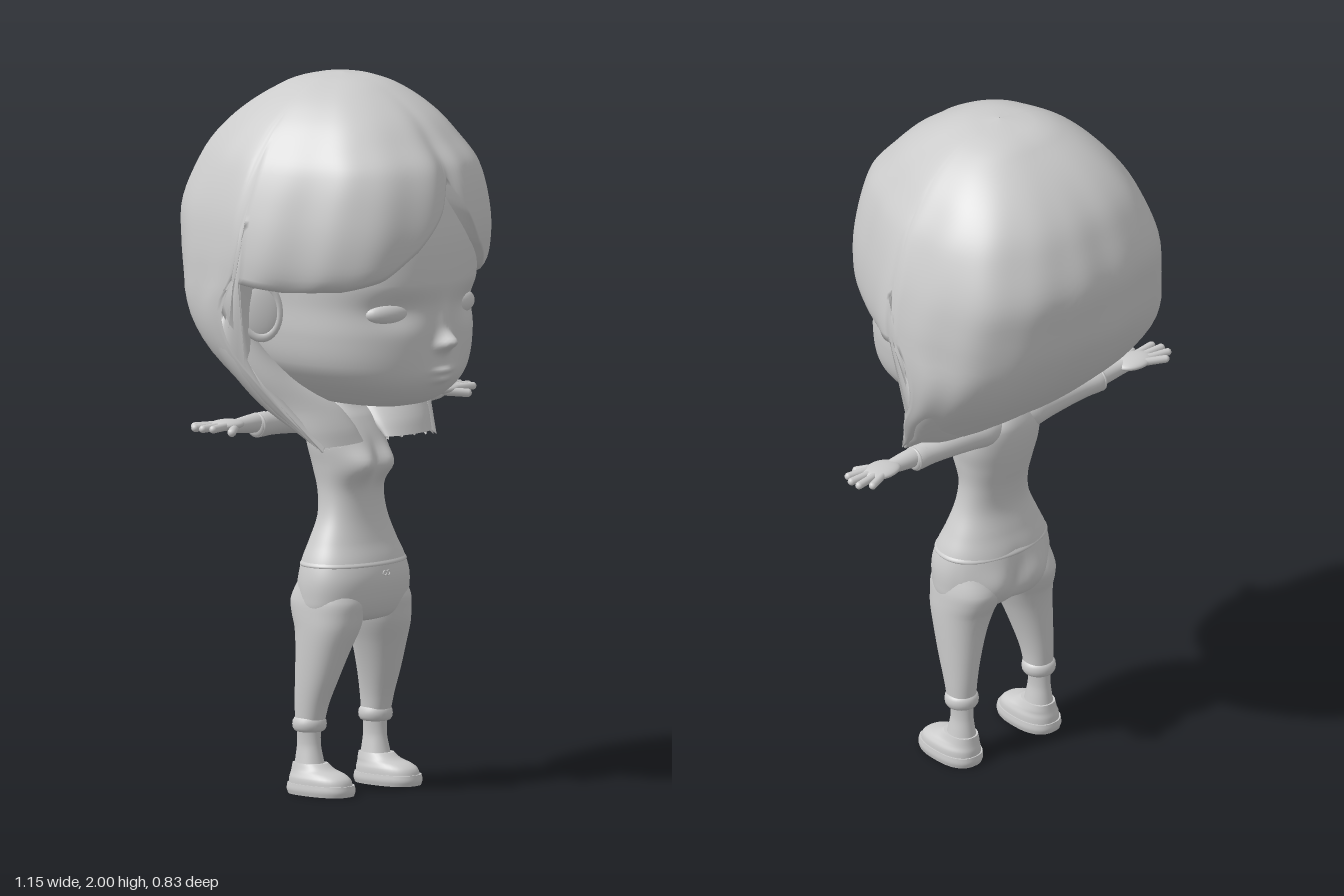
import * as THREE from 'three';

const { lerp, clamp, smoothstep } = THREE.MathUtils;
const mat = new THREE.MeshStandardMaterial({ color: 0xcccccc, roughness: 0.8, side: THREE.DoubleSide });

function mesh(name, geo, parent) {
  const m = new THREE.Mesh(geo, mat);
  m.name = name;
  parent.add(m);
  return m;
}

// Smooth lookup in a table of rows [y, centreX, halfWidth, zFront, zBack]
function sample(T, y) {
  let i = 0;
  while (i < T.length - 2 && y > T[i + 1][0]) i++;
  const h = T[i + 1][0] - T[i][0], f = clamp((y - T[i][0]) / h, 0, 1);
  const slope = (k, c) => {
    const a = T[Math.max(k - 1, 0)], b = T[Math.min(k + 1, T.length - 1)];
    return (b[c] - a[c]) / (b[0] - a[0]);
  };
  return [0, 1, 2, 3, 4].map(c => {
    if (c === 0) return y;
    const f2 = f * f, f3 = f2 * f;
    return (2 * f3 - 3 * f2 + 1) * T[i][c] + (f3 - 2 * f2 + f) * h * slope(i, c)
      + (3 * f2 - 2 * f3) * T[i + 1][c] + (f3 - f2) * h * slope(i + 1, c);
  });
}

// Point on a rounded cross-section; u = 0 faces the front, u = 90 degrees faces +x
function ringPoint([y, cx, rx, zf, zb], u, n) {
  const s = Math.sin(u), c = Math.cos(u);
  const r = 1 / Math.pow(Math.abs(s) ** n + Math.abs(c) ** n, 1 / n);
  return [cx + rx * r * s, y, (zf + zb) / 2 + (zf - zb) / 2 * r * c];
}

// Skin over closed rings of points listed from bottom to top
function skin(rings) {
  const cols = rings[0].length, idx = [];
  for (let i = 0; i < rings.length - 1; i++) {
    for (let j = 0; j < cols; j++) {
      const a = i * cols + j, b = i * cols + (j + 1) % cols;
      idx.push(a, b, b + cols, a, b + cols, a + cols);
    }
  }
  const g = new THREE.BufferGeometry();
  g.setAttribute('position', new THREE.Float32BufferAttribute(rings.flat(2), 3));
  g.setIndex(idx);
  g.computeVertexNormals();
  return g;
}

function loft(T, { n = 2, cols = 40, sub = 4, shape = p => p } = {}) {
  const rings = [];
  const add = row => rings.push(Array.from({ length: cols }, (_, j) =>
    shape(ringPoint(row, j / cols * Math.PI * 2, n))));
  const cap = ([y, cx, , zf, zb]) => add([y, cx, 1e-4, (zf + zb) / 2, (zf + zb) / 2]);
  const end = T[T.length - 1];
  cap(T[0]); add(T[0]);
  for (let i = 0; i < T.length - 1; i++) {
    for (let k = 0; k < sub; k++) add(sample(T, lerp(T[i][0], T[i + 1][0], k / sub)));
  }
  add(end); add(end); cap(end);
  return skin(rings);
}

// Soft swelling centred on (x0, y0)
const bump = (x, y, x0, y0, w, h) => Math.exp(-(((x - x0) / w) ** 2) - ((y - y0) / h) ** 2);

function ball(name, parent, pos, size) {
  const m = mesh(name, new THREE.SphereGeometry(1, 28, 18), parent);
  m.position.set(...pos);
  m.scale.set(...size);
  return m;
}

// Rounded rod between two points
function rod(name, parent, a, b, r) {
  const A = new THREE.Vector3(...a), B = new THREE.Vector3(...b), d = B.clone().sub(A);
  const m = mesh(name, new THREE.CapsuleGeometry(r, d.length(), 6, 12), parent);
  m.position.copy(A).add(B).multiplyScalar(0.5);
  m.quaternion.setFromUnitVectors(new THREE.Vector3(0, 1, 0), d.normalize());
}

function buildHead(root) {
  const head = new THREE.Group();
  head.name = 'head';
  root.add(head);
  const T = [[1.088, 0, .08, .22, -.05], [1.1, 0, .13, .275, -.09], [1.13, 0, .188, .322, -.14], [1.17, 0, .24, .35, -.17],
    [1.22, 0, .275, .36, -.2], [1.3, 0, .292, .364, -.22], [1.38, 0, .295, .366, -.24], [1.45, 0, .3, .378, -.25],
    [1.6, 0, .3, .365, -.25], [1.75, 0, .25, .3, -.22], [1.88, 0, .1, .12, -.1]];
  // Eye sockets, nose with nostrils, and lips
  const shape = ([x, y, z]) => {
    if (z < 0.1) return [x, y, z];
    const a = Math.abs(x);
    z -= 0.022 * bump(a, y, .15, 1.375, .075, .045);
    z += 0.012 * bump(a, y, 0, 1.33, .025, .06) + 0.045 * bump(a, y, 0, 1.282, .023, .024);
    z += 0.016 * bump(a, y, .024, 1.272, .013, .014) + 0.008 * bump(a, y, 0, 1.19, .08, .04);
    z += 0.012 * bump(a, y, 0, 1.199, .038, .009) + 0.011 * bump(a, y, 0, 1.173, .032, .01);
    return [x, y, z];
  };
  mesh('face', loft(T, { n: 2.25, cols: 240, sub: 10, shape }), head);
  for (const s of [1, -1]) {
    ball('closedEyelid', head, [s * .15, 1.368, .292], [.075, .034, .034]).rotation.y = s * .3;
    // Ear with a raised rim
    const ear = new THREE.Group();
    ear.name = s > 0 ? 'leftEar' : 'rightEar';
    ear.position.set(s * .333, 1.368, -.018);
    ear.rotation.set(0, s * .8, -s * .1);
    head.add(ear);
    ball('earBody', ear, [0, 0, -.004], [.064, .09, .022]);
    const rim = mesh('earRim', new THREE.TorusGeometry(.053, .01, 10, 36), ear);
    rim.scale.set(1, 1.42, 1);
    rim.position.z = .004;
  }
}

function buildHair(root) {
  const T = [[.94, 0, .22, .18, .12], [.97, 0, .24, .18, .1], [1.03, 0, .275, .19, 0], [1.09, 0, .315, .21, -.1], [1.17, 0, .36, .2, -.19],
    [1.25, 0, .39, .16, -.27], [1.33, 0, .408, .175, -.33], [1.4, 0, .415, .25, -.368], [1.45, 0, .418, .36, -.388],
    [1.53, 0, .415, .4, -.402], [1.64, 0, .395, .41, -.412], [1.76, 0, .353, .385, -.37], [1.83, 0, .31, .33, -.33],
    [1.9, 0, .25, .26, -.26], [1.96, 0, .17, .165, -.17], [1.99, 0, .09, .085, -.1], [2, 0, .001, 0, -.002]];
  // Hemline by angle in degrees from the front: fringe, side, ragged locks, nape
  const hem = [[0, 1.735], [8, 1.65], [20, 1.545], [33, 1.465], [46, 1.435], [70, 1.43], [92, 1.45],
    [96, .97], [166, .97], [172, 1.06], [180, 1.09]];
  const hemAt = d => {
    let i = 0;
    while (i < hem.length - 2 && d > hem[i + 1][0]) i++;
    const f = (d - hem[i][0]) / (hem[i + 1][0] - hem[i][0]);
    return lerp(hem[i][1], hem[i + 1][1], f);
  };
  const cols = 180, rows = 48, rings = [];
  for (let k = -1; k <= rows; k++) {
    const ring = [];
    for (let j = 0; j < cols; j++) {
      const u = (j / cols) * Math.PI * 2, d = Math.min(j, cols - j) * 360 / cols;
      let ye = hemAt(d);
      if (d > 95 && d < 167) ye += .045 * Math.abs(((d / 13) % 1) - .5);
      const t = 1 - Math.max(k, 0) / rows;
      const y = 2 - (2 - ye) * (1 - Math.cos(t * Math.PI / 2));
      // Narrower towards the face, squarer at the back
      const back = smoothstep(-Math.cos(u), -.2, .6);
      const p = ringPoint(sample(T, y), u, lerp(2.25, 2.7, back));
      p[0] *= lerp(.9, 1, smoothstep(-Math.cos(u), -.5, .1));
      // Parting dip and soft strands
      const au = Math.min(u, Math.PI * 2 - u), amp = smoothstep(2 - y, 0, .3);
      let r = 1 - amp * (.05 * Math.exp(-((au / .12) ** 2)) - .008 * Math.sin(8 * u + 5 * y) - .004 * Math.sin(17 * u - 4 * y));
      // Turned-in rim
      if (k < 0) { r *= d < 94 ? .86 : .95; p[1] += .012; }
      ring.push([p[0] * r, p[1], p[2] * r]);
    }
    rings.push(ring);
  }
  mesh('hair', skin(rings), root);
  // Locks sweeping from behind the ears to the chest
  for (const s of [1, -1]) {
    mesh('sideLock', loft([[.985, s * .145, .095, .14, .08], [1.03, s * .16, .112, .12, .01], [1.09, s * .19, .12, .08, -.08],
      [1.17, s * .275, .08, .025, -.13], [1.25, s * .325, .06, -.025, -.17], [1.35, s * .355, .045, -.075, -.2],
      [1.45, s * .36, .03, -.08, -.2]]), root);
  }
}

function buildBody(root) {
  // Bust and buttocks are swellings of the torso itself
  const shape = ([x, y, z]) => {
    const a = Math.abs(x);
    if (z > .03) z += .036 * bump(a, y, .05, .918, .045, .042);
    if (z < -.02) z -= .022 * bump(a, y, .075, .55, .06, .06) - .014 * bump(a, y, 0, .55, .025, .06);
    return [x, y, z];
  };
  mesh('torso', loft([[.478, 0, .1, .1, -.04], [.486, 0, .155, .122, -.056], [.51, 0, .178, .14, -.07], [.55, 0, .183, .153, -.078],
    [.6, 0, .181, .157, -.08], [.65, 0, .168, .145, -.075], [.7, 0, .145, .125, -.06], [.77, 0, .115, .106, -.043],
    [.84, 0, .105, .1, -.05], [.91, 0, .112, .11, -.07], [.98, 0, .122, .1, -.086], [1.04, 0, .11, .068, -.09],
    [1.075, 0, .07, .04, -.08], [1.1, 0, .045, .03, -.06], [1.16, 0, .043, .03, -.055]],
  { n: 2.2, cols: 80, sub: 6, shape }), root);
  mesh('waistband', loft([[.63, 0, .17, .146, -.075], [.638, 0, .1745, .151, -.08], [.648, 0, .168, .145, -.075]], { n: 2.2, cols: 80 }), root);
  for (const s of [1, -1]) {
    const bow = mesh('waistBow', new THREE.TorusGeometry(.007, .002, 6, 14), root);
    bow.position.set(s * .007, .614, .157);
  }
}

function buildLeg(root, s) {
  const leg = new THREE.Group();
  leg.name = s > 0 ? 'leftLeg' : 'rightLeg';
  root.add(leg);
  mesh('trouserLeg', loft([[.19, s * .14, .038, .036, -.043], [.25, s * .138, .043, .052, -.046], [.32, s * .131, .053, .078, -.048],
    [.4, s * .119, .067, .106, -.052], [.46, s * .107, .079, .128, -.062], [.5, s * .1, .084, .135, -.078],
    [.54, s * .094, .086, .138, -.086], [.6, s * .085, .08, .11, -.06]], { n: 2.2 }), leg);
  const cuff = mesh('trouserCuff', new THREE.TorusGeometry(.036, .012, 12, 36), leg);
  cuff.rotation.x = Math.PI / 2;
  cuff.position.set(s * .14, .193, -.004);
  cuff.scale.z = 1.7;
  mesh('ankle', loft([[.05, s * .14, .044, .05, -.052], [.1, s * .14, .034, .037, -.046], [.14, s * .14, .028, .03, -.042],
    [.2, s * .14, .032, .03, -.042]]), leg);
  mesh('shoeSole', loft([[0, s * .142, .061, .142, -.062], [.014, s * .142, .064, .146, -.066],
    [.03, s * .142, .062, .143, -.064]], { n: 2.5 }), leg);
  mesh('shoeUpper', loft([[.025, s * .142, .059, .14, -.061], [.045, s * .142, .057, .132, -.06], [.058, s * .141, .051, .112, -.057],
    [.068, s * .14, .046, .077, -.055], [.085, s * .14, .04, .05, -.052]], { n: 2.4 }), leg);
}

function buildArm(root, s) {
  const arm = new THREE.Group();
  arm.name = s > 0 ? 'leftArm' : 'rightArm';
  root.add(arm);
  const tube = (name, y, pts) => {
    const curve = new THREE.SplineCurve(pts.map(([x, r]) => new THREE.Vector2(r, x)));
    const m = mesh(name, new THREE.LatheGeometry(curve.getPoints(24), 28), arm);
    m.rotation.z = -s * Math.PI / 2;
    m.position.set(0, y, -.03);
  };
  tube('sleeve', 1.046, [[.02, .04], [.08, .05], [.14, .043], [.22, .036], [.28, .033], [.34, .032], [.345, .001]]);
  const cuff = mesh('sleeveCuff', new THREE.TorusGeometry(.03, .005, 10, 28), arm);
  cuff.rotation.y = Math.PI / 2;
  cuff.position.set(s * .335, 1.046, -.03);
  tube('forearm', 1.053, [[.3, .028], [.36, .026], [.41, .021], [.44, .018], [.46, .01]]);
  // Hand with spread fingers
  ball('palm', arm, [s * .458, 1.06, -.035], [.06, .016, .042]);
  const fingers = [[.475, -.06, .532, -.085], [.485, -.047, .56, -.06], [.488, -.03, .562, -.03], [.48, -.014, .55, -.003]];
  for (const [x0, z0, x1, z1] of fingers) rod('finger', arm, [s * x0, 1.06, z0], [s * x1, 1.06, z1], .011);
  rod('thumb', arm, [s * .435, 1.056, -.02], [s * .5, 1.048, .022], .012);
}

export function createModel() {
  const root = new THREE.Group();
  root.name = 'girl';
  buildHead(root);
  buildHair(root);
  buildBody(root);
  for (const s of [1, -1]) {
    buildLeg(root, s);
    buildArm(root, s);
  }
  return root;
}
